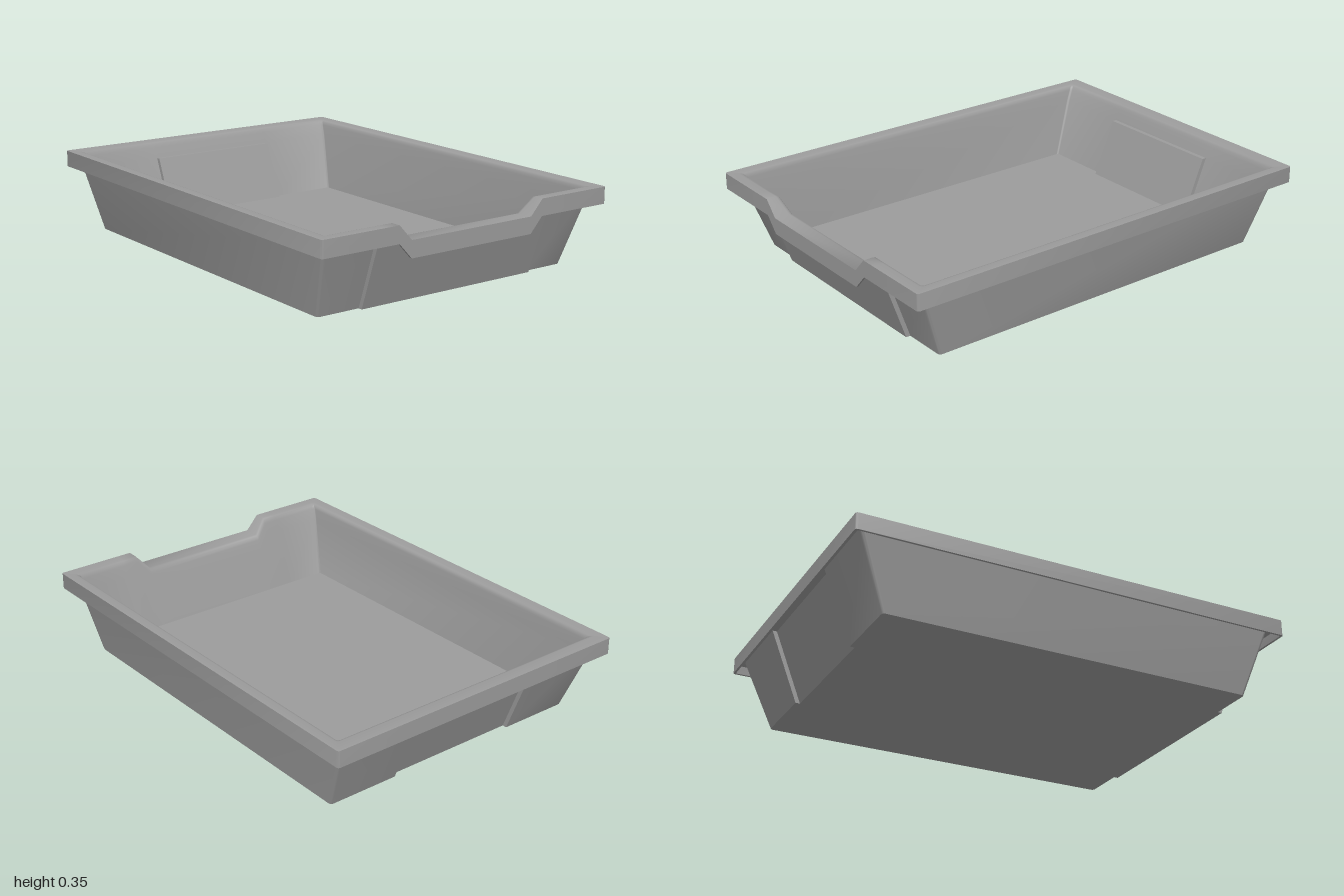
import * as THREE from 'three';
import { toCreasedNormals } from 'three/addons/utils/BufferGeometryUtils.js';

const NOTCH = 0.066;   // depth of the hand notch in the front rim
const PAD = 0.44;      // half width of the raised front panel
const LABEL = 0.31;    // half width of the recessed back panel

// How far the rim drops at x along the front
const dropAt = (x) => NOTCH * THREE.MathUtils.clamp((0.37 - Math.abs(x)) / 0.06, 0, 1);

// One closed loop around the tray, counter-clockwise seen from above.
// front / back push the panels towards +z; notch lowers the front edge, lean shifts it inward.
function ring({ hx, zf, zb, y, r = 0.014, front = 0, back = 0, notch = false, lean = 0 }) {
  const pts = [];
  const corner = (cx, cz, start) => {
    for (let i = 0; i <= 4; i++) {
      const a = start + (i / 4) * Math.PI / 2;
      pts.push(new THREE.Vector3(cx + r * Math.cos(a), y, cz - r * Math.sin(a)));
    }
  };
  corner(-hx + r, zf - r, Math.PI);
  const stations = [[-PAD, 0], [-PAD, 1], [-0.37, 1], [-0.31, 1], [0.31, 1], [0.37, 1], [PAD, 1], [PAD, 0]];
  for (const [x, on] of stations) {
    const d = notch ? dropAt(x) : 0;
    pts.push(new THREE.Vector3(x, y - d, zf + on * front - d * lean));
  }
  corner(hx - r, zf - r, Math.PI * 1.5);
  corner(hx - r, zb + r, 0);
  for (const [x, on] of [[LABEL, 0], [LABEL, 1], [-LABEL, 1], [-LABEL, 0]]) {
    pts.push(new THREE.Vector3(x, y, zb + on * back));
  }
  corner(-hx + r, zb + r, Math.PI / 2);
  return pts;
}

// Skin a stack of rings, optionally closing the first (facing down) or last (facing up)
function skin(name, specs, material, cap) {
  const rings = specs.map(ring);
  const pos = [];
  const tri = (a, b, c) => {
    const area = b.clone().sub(a).cross(c.clone().sub(a)).length();
    if (area > 1e-8) for (const p of [a, b, c]) pos.push(p.x, p.y, p.z);
  };
  for (let i = 0; i + 1 < rings.length; i++) {
    const lo = rings[i], hi = rings[i + 1], n = lo.length;
    for (let j = 0; j < n; j++) {
      const k = (j + 1) % n;
      tri(lo[j], lo[k], hi[k]);
      tri(lo[j], hi[k], hi[j]);
    }
  }
  if (cap) {
    // Leave out repeated points before filling the floor
    const loop = (cap === 'bottom' ? rings[0] : rings[rings.length - 1])
      .filter((p, i, all) => p.distanceTo(all[(i + 1) % all.length]) > 1e-6);
    const faces = THREE.ShapeUtils.triangulateShape(loop.map((p) => new THREE.Vector2(p.x, -p.z)), []);
    for (const [a, b, c] of faces) {
      if (cap === 'bottom') tri(loop[a], loop[c], loop[b]);
      else tri(loop[a], loop[b], loop[c]);
    }
  }
  const geometry = new THREE.BufferGeometry();
  geometry.setAttribute('position', new THREE.Float32BufferAttribute(pos, 3));
  const mesh = new THREE.Mesh(toCreasedNormals(geometry, 0.9), material);
  mesh.name = name;
  return mesh;
}

export function createModel() {
  const group = new THREE.Group();
  group.name = 'storageTray';
  const material = new THREE.MeshStandardMaterial({ color: 0x9c9c9c, side: THREE.DoubleSide });

  // Outer walls and underside, with the front panel raised and the back panel recessed
  const wallTop = { hx: 0.69, zf: 0.952, zb: -0.963, y: 0.32, front: 0.02, back: 0.02, notch: true, lean: 0.36 };
  group.add(skin('outerWalls', [
    { hx: 0.638, zf: 0.84, zb: -0.838, y: 0, front: 0.02, back: 0.02 },
    wallTop,
  ], material, 'bottom'));

  // Overhanging rim: underside and hanging skirt
  const outer = { hx: 0.734, zf: 1, zb: -1, r: 0.01, notch: true };
  const inner = { hx: 0.724, zf: 0.99, zb: -0.99, r: 0.006, notch: true };
  const rimTop = { ...outer, y: 0.353 };
  group.add(skin('rimSkirt', [
    wallTop,
    { ...inner, y: 0.32 },
    { ...inner, y: 0.28 },
    { ...outer, y: 0.28 },
    rimTop,
  ], material));

  // Rim top rolling over into the inner walls, label panel with its ledge, floor
  const ledge = { hx: 0.667, zf: 0.913, zb: -0.899, y: 0.282, notch: true, lean: 0.36 };
  group.add(skin('basin', [
    rimTop,
    { hx: 0.694, zf: 0.956, zb: -0.945, y: 0.353, notch: true, lean: 0.36 },
    { hx: 0.684, zf: 0.945, zb: -0.935, y: 0.35, notch: true, lean: 0.36 },
    { hx: 0.678, zf: 0.938, zb: -0.929, y: 0.343, notch: true, lean: 0.36 },
    { hx: 0.675, zf: 0.932, zb: -0.922, y: 0.33, notch: true, lean: 0.36 },
    ledge,
    { ...ledge, back: 0.02 },
    { hx: 0.625, zf: 0.82, zb: -0.798, y: 0.03, r: 0.01, back: 0.023 },
  ], material, 'top'));

  return group;
}
